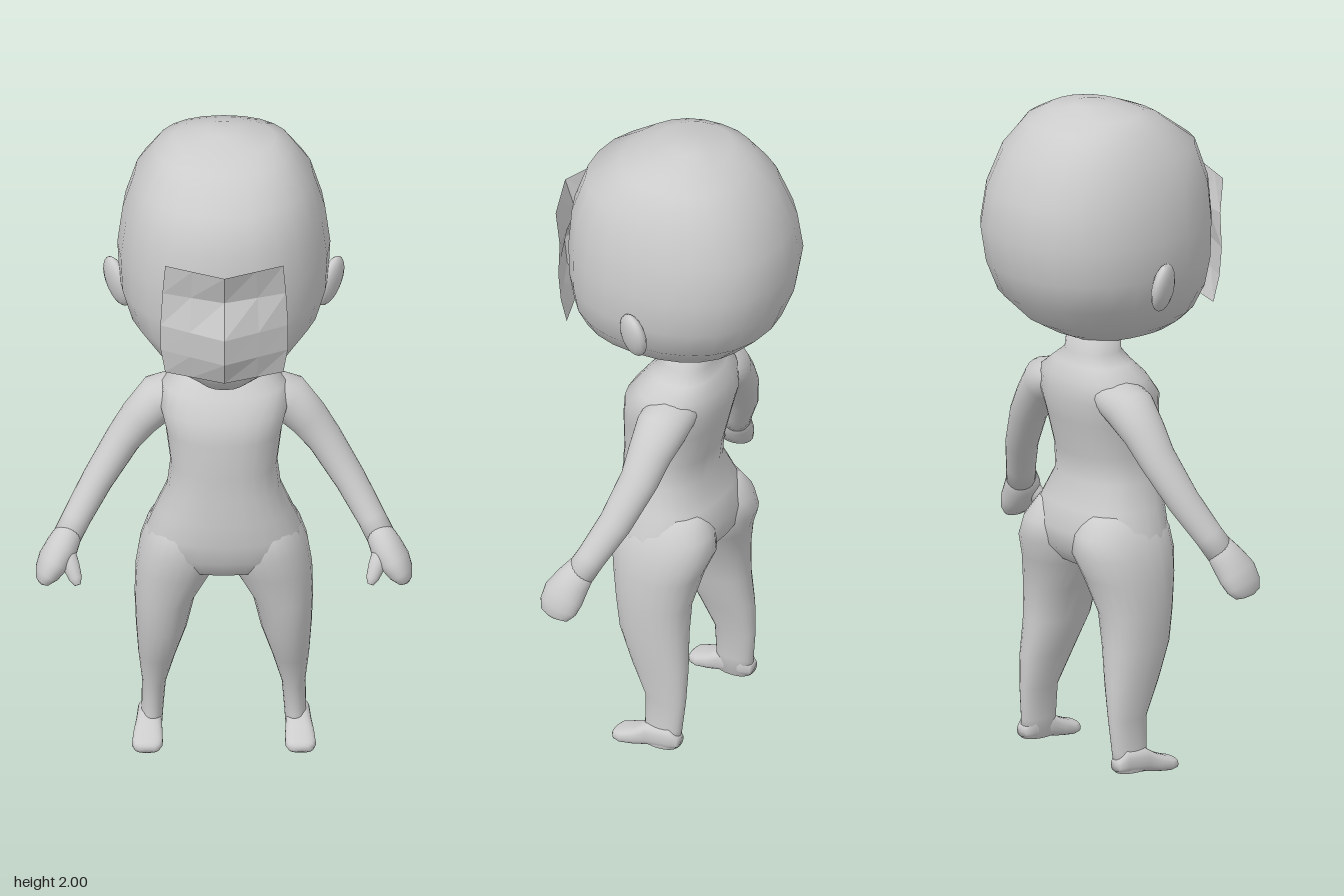
import * as THREE from 'three';

const grey = new THREE.MeshStandardMaterial({ color: 0xcccccc });
grey.name = 'grey';
const greySheet = new THREE.MeshStandardMaterial({ color: 0xcccccc, side: THREE.DoubleSide, flatShading: true });
greySheet.name = 'greySheet';

const SEG = 24;
const spow = (v, p) => Math.sign(v) * Math.abs(v) ** p;

// Closed smooth skin over rings of points; faces always end up pointing outwards
function loft(rings) {
  const pos = [], idx = [], n = rings[0].length, last = rings.length - 1;
  rings.forEach(r => r.forEach(p => pos.push(p.x, p.y, p.z)));
  [0, last].forEach(k => {
    const c = rings[k].reduce((a, p) => a.add(p), new THREE.Vector3()).divideScalar(n);
    pos.push(c.x, c.y, c.z);
  });
  const c0 = n * (last + 1), c1 = c0 + 1;
  for (let j = 0; j < n; j++) {
    const k = (j + 1) % n;
    for (let i = 0; i < last; i++) {
      const a = i * n + j, b = i * n + k;
      idx.push(a, b, b + n, a, b + n, a + n);
    }
    idx.push(c0, k, j, c1, last * n + j, last * n + k);
  }
  // Signed volume decides the winding
  const P = i => new THREE.Vector3().fromArray(pos, i * 3);
  let vol = 0;
  for (let i = 0; i < idx.length; i += 3) vol += P(idx[i]).dot(P(idx[i + 1]).cross(P(idx[i + 2])));
  if (vol < 0) idx.reverse();
  const g = new THREE.BufferGeometry();
  g.setAttribute('position', new THREE.Float32BufferAttribute(pos, 3));
  g.setIndex(idx);
  g.computeVertexNormals();
  return g;
}

// Rounded-square outline around a centre, spanned by two axes
function ring(c, u, v, n = 2) {
  return Array.from({ length: SEG }, (_, j) => {
    const a = j / SEG * Math.PI * 2;
    return c.clone().addScaledVector(u, spow(Math.cos(a), 2 / n)).addScaledVector(v, spow(Math.sin(a), 2 / n));
  });
}

// Level section: height, x range, front z, back z
const level = (y, x0, x1, zf, zb, n) => ring(
  new THREE.Vector3((x0 + x1) / 2, y, (zf + zb) / 2),
  new THREE.Vector3((x1 - x0) / 2, 0, 0), new THREE.Vector3(0, 0, (zf - zb) / 2), n);

// Limb along points [x, y, z, radius across, radius in depth]
function limb(pts) {
  const v = pts.map(p => new THREE.Vector3(p[0], p[1], p[2]));
  return loft(pts.map((p, i) => {
    const t = v[Math.min(i + 1, v.length - 1)].clone().sub(v[Math.max(i - 1, 0)]).normalize();
    const u = new THREE.Vector3().crossVectors(t, new THREE.Vector3(0, 0, 1)).normalize();
    const w = new THREE.Vector3().crossVectors(t, u);
    return ring(v[i], u.multiplyScalar(p[3]), w.multiplyScalar(p[4]));
  }));
}

function mirrored(g) {
  const m = g.clone().scale(-1, 1, 1);
  m.setIndex(Array.from(m.index.array).reverse());
  m.computeVertexNormals();
  return m;
}

export function createModel() {
  const group = new THREE.Group();
  const add = (name, geo, mat = grey) => {
    const m = new THREE.Mesh(geo, mat);
    m.name = name;
    group.add(m);
  };
  const pair = (name, geo) => {
    add('left' + name, geo);
    add('right' + name, mirrored(geo));
  };

  // Head: height, half width, front z, back z
  add('head', loft([
    [2.0, 0.05, 0.0, -0.1], [1.978, 0.15, 0.08, -0.16], [1.95, 0.2, 0.15, -0.23], [1.87, 0.26, 0.26, -0.305],
    [1.755, 0.295, 0.3, -0.358], [1.64, 0.31, 0.308, -0.375], [1.53, 0.304, 0.305, -0.355],
    [1.44, 0.275, 0.295, -0.32], [1.36, 0.205, 0.28, -0.24], [1.32, 0.15, 0.258, -0.17],
    [1.285, 0.09, 0.225, -0.09], [1.27, 0.04, 0.18, 0.04],
  ].map(([y, w, f, b]) => level(y, -w, w, f, b, 2.2))));

  // Ears flare out towards the back and top
  const ear = new THREE.SphereGeometry(1, 16, 12).scale(0.028, 0.078, 0.058);
  ear.rotateY(-0.45).rotateZ(-0.3).rotateX(-0.15).translate(0.31, 1.508, -0.035);
  pair('Ear', ear);

  // Faceted face plate: height, centre z, edge z, half width
  const rows = [[1.73, 0.372, 0.305, 0.172], [1.63, 0.335, 0.287, 0.18], [1.525, 0.375, 0.288, 0.186],
    [1.44, 0.365, 0.28, 0.185], [1.36, 0.325, 0.268, 0.172]];
  const plate = new THREE.PlaneGeometry(1, 1, 4, 4);
  rows.forEach(([y, zc, ze, w], i) => [-1, -0.54, 0, 0.54, 1].forEach((s, j) => {
    const t = Math.abs(s);
    plate.attributes.position.setXYZ(i * 5 + j, s * w, y + 0.008 * t, zc + (ze - zc) * t);
  }));
  plate.computeVertexNormals();
  add('facePlate', plate, greySheet);

  // Neck, torso and pelvis
  add('torso', loft([
    [1.32, 0.08, 0.03, -0.11], [1.25, 0.085, 0.03, -0.12], [1.22, 0.125, 0.05, -0.14],
    [1.18, 0.18, 0.085, -0.163], [1.12, 0.188, 0.13, -0.17], [1.05, 0.17, 0.14, -0.155],
    [0.945, 0.156, 0.14, -0.13], [0.865, 0.166, 0.14, -0.12], [0.79, 0.195, 0.145, -0.158],
    [0.72, 0.224, 0.143, -0.175], [0.66, 0.236, 0.135, -0.17], [0.61, 0.17, 0.105, -0.125],
    [0.585, 0.06, 0.04, -0.06],
  ].map(([y, w, f, b]) => level(y, -w, w, f, b, 2.3))));

  // Legs: height, inner x, outer x, front z, back z
  pair('Leg', loft([
    [0.78, 0.03, 0.185, 0.09, -0.14], [0.72, 0.005, 0.224, 0.12, -0.182], [0.66, 0.0, 0.245, 0.125, -0.19],
    [0.59, 0.025, 0.257, 0.112, -0.163], [0.49, 0.083, 0.26, 0.09, -0.142], [0.39, 0.106, 0.256, 0.075, -0.14],
    [0.28, 0.14, 0.249, 0.03, -0.148], [0.175, 0.168, 0.238, -0.018, -0.147],
    [0.08, 0.176, 0.24, -0.02, -0.138], [0.02, 0.18, 0.25, -0.02, -0.132],
  ].map(r => level(...r, 2.2))));

  // Feet: z, centre x, half width, bottom, top
  pair('Foot', loft([
    [-0.136, 0.215, 0.022, 0.025, 0.06], [-0.11, 0.215, 0.035, 0.017, 0.09], [-0.04, 0.218, 0.038, 0.01, 0.085],
    [0.0, 0.221, 0.043, 0.004, 0.06], [0.04, 0.223, 0.045, 0.0, 0.044], [0.062, 0.224, 0.038, 0.003, 0.038],
    [0.071, 0.224, 0.025, 0.01, 0.03],
  ].map(([z, x, w, y0, y1]) => ring(new THREE.Vector3(x, (y0 + y1) / 2, z),
    new THREE.Vector3(w, 0, 0), new THREE.Vector3(0, (y1 - y0) / 2, 0), 2.6))));

  // Arms curve forward to mitten hands with a thumb
  pair('Arm', limb([
    [0.1, 1.15, -0.06, 0.055, 0.08], [0.19, 1.11, -0.06, 0.07, 0.078], [0.245, 1.05, -0.052, 0.06, 0.066],
    [0.293, 0.985, -0.045, 0.052, 0.058], [0.37, 0.865, -0.008, 0.046, 0.05],
    [0.43, 0.765, 0.038, 0.042, 0.044], [0.458, 0.715, 0.062, 0.042, 0.045],
  ]));
  pair('Hand', limb([
    [0.445, 0.74, 0.052, 0.038, 0.042], [0.47, 0.695, 0.075, 0.047, 0.054], [0.495, 0.655, 0.092, 0.047, 0.064],
    [0.515, 0.62, 0.1, 0.037, 0.06], [0.528, 0.597, 0.105, 0.022, 0.045], [0.531, 0.59, 0.106, 0.01, 0.02],
  ]));
  pair('Thumb', limb([
    [0.465, 0.69, 0.09, 0.03, 0.03], [0.445, 0.65, 0.118, 0.025, 0.024],
    [0.432, 0.618, 0.138, 0.019, 0.018], [0.426, 0.602, 0.147, 0.009, 0.009],
  ]));

  return group;
}
